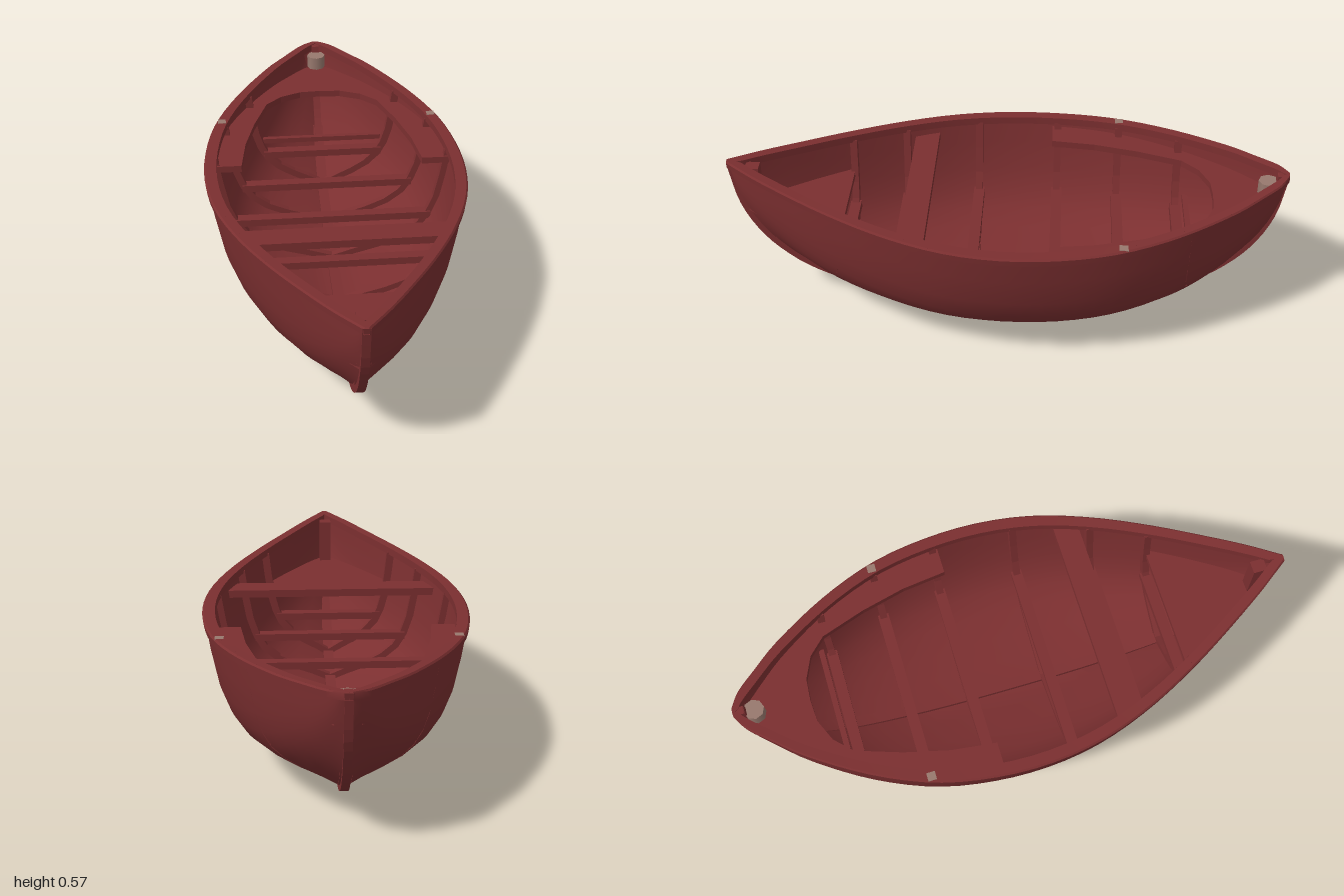
import * as THREE from 'three';
import { toCreasedNormals } from 'three/addons/utils/BufferGeometryUtils.js';

// Smooth interpolation through [position, value] pairs
function curve(pts) {
  const slope = (i) => {
    const a = pts[Math.max(i - 1, 0)], b = pts[Math.min(i + 1, pts.length - 1)];
    return (b[1] - a[1]) / (b[0] - a[0]);
  };
  return (x) => {
    let i = 0;
    while (i < pts.length - 2 && x > pts[i + 1][0]) i++;
    const [x0, y0] = pts[i], [x1, y1] = pts[i + 1], h = x1 - x0;
    const t = Math.min(Math.max((x - x0) / h, 0), 1), t2 = t * t, t3 = t2 * t;
    return y0 * (2 * t3 - 3 * t2 + 1) + y1 * (3 * t2 - 2 * t3)
      + h * (slope(i) * (t3 - 2 * t2 + t) + slope(i + 1) * (t3 - t2));
  };
}

// Hull lines: half breadth, keel height and sheer along z
const breadth = curve([[-1, 0.015], [-0.97, 0.065], [-0.9, 0.13], [-0.8, 0.215], [-0.6, 0.34], [-0.4, 0.425],
  [-0.2, 0.464], [0, 0.47], [0.2, 0.44], [0.4, 0.37], [0.6, 0.27], [0.8, 0.15], [0.9, 0.085], [1, 0.012]]);
const keelHalf = curve([[0, 0], [0.2, 0.004], [0.4, 0.022], [0.6, 0.06], [0.7, 0.1], [0.8, 0.165],
  [0.9, 0.27], [0.97, 0.41], [1, 0.57]]);
const keel = (z) => keelHalf(Math.abs(z));
const sheer = (z) => 0.52 + 0.055 * z * z;
const profile = [[0, 0], [0.2, 0.06], [0.4, 0.11], [0.6, 0.18], [0.75, 0.275], [0.84, 0.39], [0.91, 0.55], [0.96, 0.77], [1, 1]];

// Half section of the hull at z, from keel to sheer
function halfSection(z, inset, drop = 0) {
  const top = sheer(z) - drop;
  const b = Math.max(breadth(z) - inset, 0.003);
  const k = Math.min(keel(z) + 0.008 + inset, top - 0.005);
  const v = 0.45 * Math.abs(z) ** 3;
  return profile.map(([x, y]) => [b * x, k + (top - k) * (y * (1 - v) + x * v)]);
}
const fullSection = (z, inset, drop) => {
  const half = halfSection(z, inset, drop);
  return [...half.slice(1).reverse().map(([x, y]) => [-x, y]), ...half];
};
function widthAt(z, y) {
  const s = halfSection(z, 0.02);
  for (let i = 1; i < s.length; i++) {
    if (y <= s[i][1]) {
      const t = Math.max((y - s[i - 1][1]) / (s[i][1] - s[i - 1][1]), 0);
      return s[i - 1][0] + t * (s[i][0] - s[i - 1][0]);
    }
  }
  return s[s.length - 1][0];
}

// Skin over a list of cross-sections of [x, y, z]
function loft(rows, crease) {
  const n = rows[0].length, index = [];
  for (let i = 0; i < rows.length - 1; i++) {
    for (let j = 0; j < n - 1; j++) {
      const a = i * n + j, b = a + n;
      index.push(a, a + 1, b, b, a + 1, b + 1);
    }
  }
  const g = new THREE.BufferGeometry();
  g.setAttribute('position', new THREE.Float32BufferAttribute(rows.flat(2), 3));
  g.setIndex(index);
  return toCreasedNormals(g, crease);
}

const stations = (end, n = 48) => Array.from({ length: n + 1 }, (_, i) => end * Math.sin(Math.PI * (i / n - 0.5)));
const shapeOf = (pts) => new THREE.Shape(pts.map(([x, y]) => new THREE.Vector2(x, y)));

export function createModel() {
  const boat = new THREE.Group();
  const red = new THREE.MeshStandardMaterial({ color: 0x7b2f30, side: THREE.DoubleSide });
  red.name = 'red wood';
  const grey = new THREE.MeshStandardMaterial({ color: 0x98796e });
  grey.name = 'grey fitting';
  const add = (name, geometry, material = red) => {
    const m = new THREE.Mesh(geometry, material);
    m.name = name;
    boat.add(m);
    return m;
  };
  const box = (name, w, h, d, x, y, z, material) =>
    add(name, new THREE.BoxGeometry(w, h, d), material).position.set(x, y, z);
  // Flat plank cut from a plan outline of [x, z], with its top at y
  const plank = (name, pts, y, thick) => {
    const g = new THREE.ExtrudeGeometry(shapeOf(pts), { depth: thick, bevelEnabled: false });
    add(name, g.rotateX(Math.PI / 2)).position.y = y;
  };

  // Planking, outside and inside
  const skin = (end, inset) => loft(stations(end).map((z) =>
    fullSection(z, inset).map(([x, y]) => [x, y, z])), 0.7);
  add('outerHull', skin(0.994, 0.006));
  add('innerHull', skin(0.965, 0.02));

  // Gunwale rail on each side
  for (const s of [-1, 1]) {
    add('gunwale', loft(stations(1).map((z) => {
      const o = breadth(z), i = Math.max(o - 0.045, 0), t = sheer(z), b = t - 0.028;
      return [[o - 0.003, b], [o, t - 0.006], [o - 0.006, t], [i, t], [i, b], [o - 0.003, b]].map(([x, y]) => [s * x, y, z]);
    }), 0.6));
  }

  // Keel running up into both stems
  const line = stations(1, 60).map((z) => [z, keel(z)]);
  const inner = line.map(([z, y]) => [z * 0.965, Math.min(y + 0.03, 0.57)]).reverse();
  const keelGeo = new THREE.ExtrudeGeometry(shapeOf([...line, ...inner]), { depth: 0.028, bevelEnabled: false });
  add('keel', keelGeo.translate(0, 0, -0.014).rotateY(-Math.PI / 2));

  // Keelson along the floor
  add('keelson', loft(stations(0.85, 30).map((z) => {
    const y = keel(z) + 0.025;
    return [[-0.02, y], [-0.02, y + 0.025], [0.02, y + 0.025], [0.02, y]].map(([x, h]) => [x, h, z]);
  }), 0.6));

  // Ribs with a cross bar over each
  for (const z of [-0.63, -0.41, -0.18, 0.12, 0.39, 0.58]) {
    const rib = shapeOf([...fullSection(z, 0.016, 0.02), ...fullSection(z, 0.045, 0.02).reverse()]);
    add('rib', new THREE.ExtrudeGeometry(rib, { depth: 0.026, bevelEnabled: false })).position.z = z - 0.013;
    const y = 0.22 + 0.1 * z * z;
    box('crossBar', 2 * widthAt(z, y), 0.028, 0.04, 0, y, z);
  }
  box('sternBar', 2 * widthAt(-0.66, 0.3), 0.02, 0.02, 0, 0.3, -0.665);

  // Stern bench with side arms
  const benchY = 0.475;
  const outer = Array.from({ length: 18 }, (_, i) => -0.16 - i * 0.047).map((z) => [widthAt(z, benchY) + 0.004, z]);
  const opening = [[0.335, -0.16], [0.315, -0.32], [0.275, -0.48], [0.22, -0.64], [0.16, -0.7], [0.08, -0.735], [0, -0.74]];
  const mirror = (pts) => pts.map(([x, z]) => [-x, z]);
  plank('sternBench', [...outer, ...mirror(outer).reverse(), ...mirror(opening), ...opening.slice(0, -1).reverse()], benchY, 0.025);

  // Rowing seat
  const seat = [0.27, 0.315, 0.36].map((z) => [widthAt(z, 0.45) + 0.004, z]);
  plank('rowingSeat', [...seat, ...mirror(seat).reverse()], 0.465, 0.028);

  // Bow platform and mooring post
  const bow = [0.58, 0.66, 0.74, 0.82, 0.9, 0.94].map((z) => [widthAt(z, 0.39) + 0.003, z]);
  plank('bowPlatform', [...bow, ...mirror(bow).reverse()], 0.39, 0.022);
  box('mooringPost', 0.045, 0.17, 0.05, 0, 0.47, 0.91);

  // Grey fittings: stern ring block and rail plates
  const block = add('sternFitting', new THREE.CylinderGeometry(0.036, 0.036, 0.05, 8), grey);
  block.position.set(0, 0.52, -0.93);
  for (const s of [-1, 1]) box('railPlate', 0.03, 0.008, 0.03, s * 0.4, 0.526, -0.41, grey);

  return boat;
}
